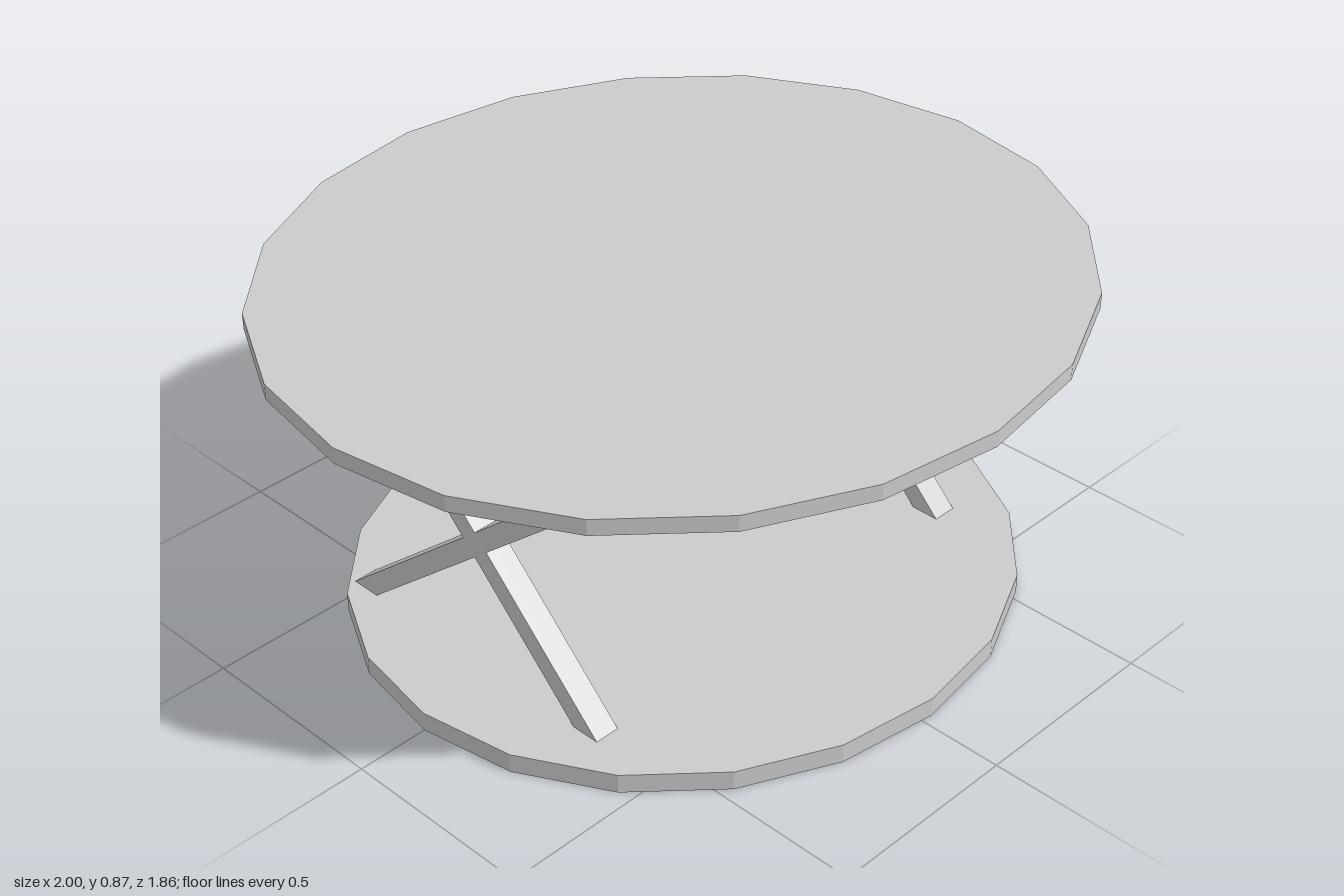
import * as THREE from 'three';

const material = new THREE.MeshStandardMaterial({ color: 0xcccccc, flatShading: true });

// Twenty-sided oval slab between two heights
function slab(name, rx, rz, y0, y1, x) {
  const geometry = new THREE.CylinderGeometry(1, 1, y1 - y0, 20);
  geometry.scale(rx, 1, rz);
  const mesh = new THREE.Mesh(geometry, material);
  mesh.name = name;
  mesh.position.set(x, (y0 + y1) / 2, 0);
  return mesh;
}

// Slanted bar with level ends, made by shearing a box along z
function strut(name, x, zBottom, zTop, thickness) {
  const y0 = 0.05, y1 = 0.83;
  const geometry = new THREE.BoxGeometry(0.065, y1 - y0, thickness);
  const p = geometry.attributes.position;
  for (let i = 0; i < p.count; i++) {
    p.setZ(i, p.getZ(i) + (p.getY(i) > 0 ? zTop : zBottom));
  }
  geometry.translate(x, (y0 + y1) / 2, 0);
  geometry.computeVertexNormals();
  const mesh = new THREE.Mesh(geometry, material);
  mesh.name = name;
  return mesh;
}

export function createModel() {
  const model = new THREE.Group();
  model.name = 'table';

  model.add(slab('tableTop', 1, 0.93, 0.83, 0.87, 0));
  model.add(slab('base', 0.845, 0.787, 0, 0.05, 0.03));

  // Crossed legs on each side
  for (const [side, x] of [['left', 0.597], ['right', -0.577]]) {
    const legs = new THREE.Group();
    legs.name = side + 'CrossedLegs';
    legs.add(strut(side + 'BackLeaningLeg', x, 0.313, -0.47, 0.075));
    legs.add(strut(side + 'FrontLeaningLeg', x, -0.445, 0.483, 0.08));
    model.add(legs);
  }
  return model;
}
